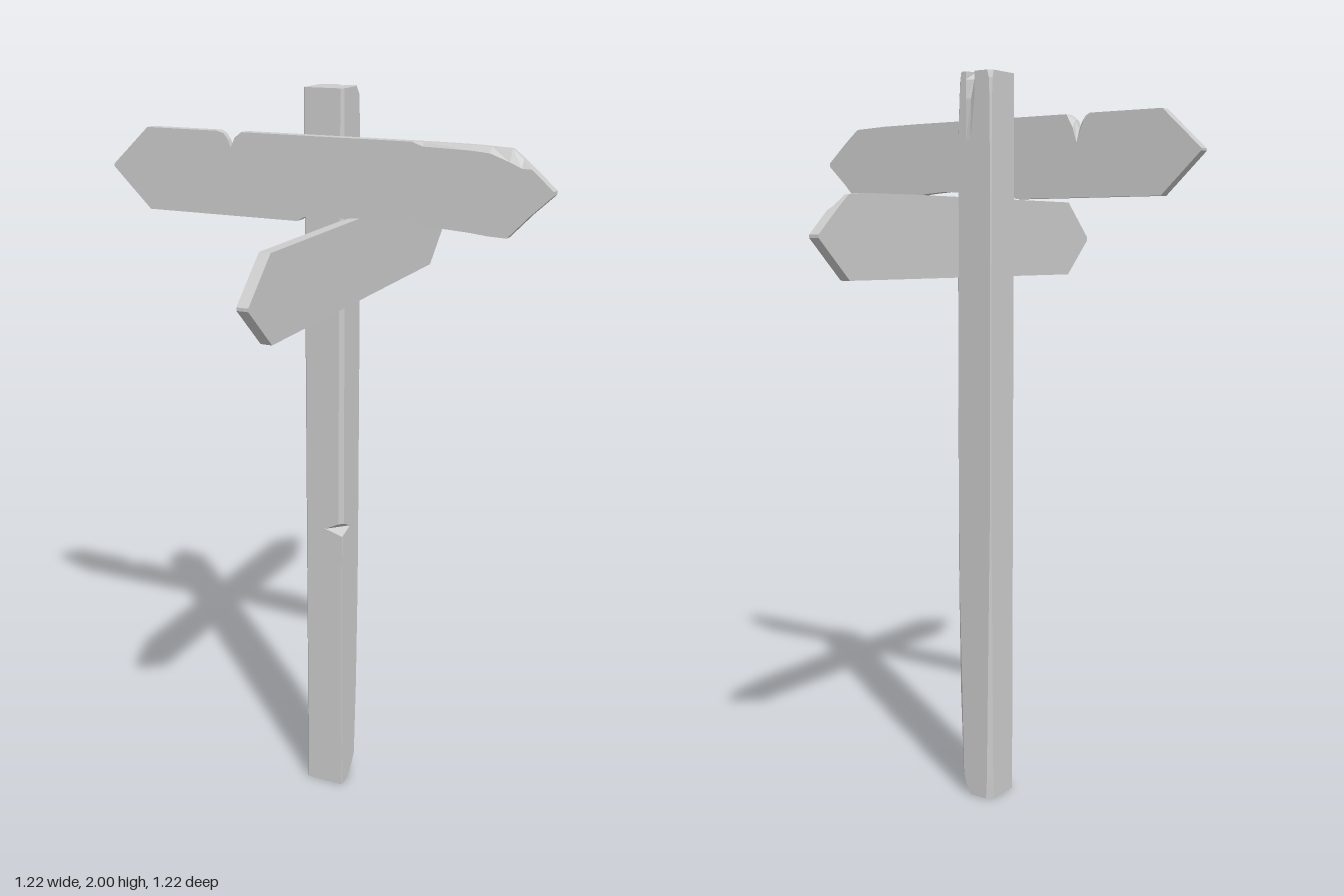
import * as THREE from 'three';

const material = new THREE.MeshStandardMaterial({ color: 0xcccccc, flatShading: true });

// Closed solid through equal-length rings of points, with capped ends.
function loft(rings) {
  const pos = [];
  const tri = (...points) => points.forEach((p) => pos.push(...p));
  const n = rings[0].length;
  const centre = (ring) => [0, 1, 2].map((k) => ring.reduce((sum, p) => sum + p[k], 0) / n);
  const first = rings[0], last = rings[rings.length - 1];
  const c0 = centre(first), c1 = centre(last);
  for (let i = 0; i < n; i++) {
    const j = (i + 1) % n;
    for (let r = 0; r < rings.length - 1; r++) {
      const a = rings[r], b = rings[r + 1];
      tri(a[i], a[j], b[j]);
      tri(a[i], b[j], b[i]);
    }
    tri(c0, first[j], first[i]);
    tri(c1, last[i], last[j]);
  }
  const geometry = new THREE.BufferGeometry();
  geometry.setAttribute('position', new THREE.Float32BufferAttribute(pos, 3));
  geometry.computeVertexNormals();
  return geometry;
}

function part(name, geometry) {
  const mesh = new THREE.Mesh(geometry, material);
  mesh.name = name;
  return mesh;
}

// Square post section: corner cuts are front-left, back-left (x and z), back-right;
// split is the depth of the crack in the back face.
function postRing([y, fl, blx, blz, br, split]) {
  const h = 0.055, fr = 0.003;
  return [
    [-h + fr, y, h], [h - fl, y, h], [h, y, h - fl],
    [h, y, -h + blz], [h - blx, y, -h],
    [Math.min(0.026, h - blx), y, -h], [0.012, y, -h + split], [-0.002, y, -h],
    [-h + br, y, -h], [-h, y, -h + br], [-h, y, h - fr],
  ];
}

// Board section along x: position, bottom, top, then depth and drop
// of the chip on the front edge and on the back edge.
function boardRing([x, bottom, top, fd = 0, fh = 0, bd = 0, bh = 0]) {
  const t = 0.03;
  return [
    [x, top, bd], [x, top, t - fd], [x, top - fh, t],
    [x, bottom, t], [x, bottom, 0], [x, top - bh, 0],
  ];
}

export function createModel() {
  const model = new THREE.Group();
  model.name = 'signpost';

  // Weathered post with a nick in the front left edge and worn back edges
  model.add(part('post', loft([
    [0, 0.001, 0.04, 0.07, 0.016, 0],
    [0.03, 0.001, 0.026, 0.042, 0.014, 0],
    [0.06, 0.001, 0.018, 0.022, 0.013, 0],
    [0.3, 0.001, 0.012, 0.01, 0.01, 0],
    [0.6, 0.001, 0.004, 0.003, 0.006, 0],
    [0.8, 0.001, 0.002, 0.002, 0.003, 0],
    [0.815, 0.052, 0.002, 0.002, 0.003, 0],
    [0.835, 0.012, 0.002, 0.002, 0.003, 0],
    [1.5, 0.01, 0.002, 0.002, 0.003, 0],
    [1.82, 0.009, 0.004, 0.005, 0.004, 0],
    [1.93, 0.008, 0.008, 0.01, 0.005, 0.004],
    [1.98, 0.008, 0.011, 0.014, 0.007, 0.018],
    [2, 0.008, 0.014, 0.03, 0.012, 0.03],
  ].map(postRing))));

  // Front board: notched top, chipped left end, worn underside
  const front = part('frontBoard', loft([
    [-0.61, 1.777, 1.783],
    [-0.5, 1.67, 1.885],
    [-0.29, 1.67, 1.885],
    [-0.27, 1.67, 1.88, 0, 0, 0.012, 0.015],
    [-0.258, 1.67, 1.865, 0, 0, 0.014, 0.03],
    [-0.25, 1.67, 1.845, 0, 0, 0.014, 0.035],
    [-0.238, 1.67, 1.87, 0, 0, 0.012, 0.02],
    [-0.218, 1.67, 1.885],
    [-0.06, 1.67, 1.885],
    [-0.04, 1.682, 1.885],
    [0.06, 1.686, 1.885],
    [0.18, 1.695, 1.885],
    [0.25, 1.69, 1.885],
    [0.28, 1.684, 1.885, 0.007, 0.01],
    [0.4, 1.677, 1.884, 0.012, 0.012],
    [0.45, 1.672, 1.882, 0.014, 0.014],
    [0.5, 1.67, 1.88, 0.018, 0.03],
    [0.53, 1.701, 1.857, 0.014, 0.02],
    [0.555, 1.727, 1.836],
    [0.61, 1.778, 1.788],
  ].map(boardRing)));
  front.position.z = 0.055;
  model.add(front);

  // Side board: same form turned to face left, chipped near its back end
  const side = part('sideBoard', loft([
    [-0.61, 1.563, 1.571],
    [-0.5, 1.46, 1.675],
    [0.18, 1.46, 1.675],
    [0.22, 1.46, 1.675, 0.006, 0.016],
    [0.35, 1.46, 1.674, 0.014, 0.009],
    [0.45, 1.46, 1.673, 0.009, 0.014],
    [0.5, 1.46, 1.668, 0.018, 0.026],
    [0.53, 1.488, 1.643, 0.012, 0.008],
    [0.545, 1.502, 1.63],
    [0.61, 1.563, 1.571],
  ].map(boardRing)));
  side.rotation.y = Math.PI / 2;
  side.position.x = 0.051;
  model.add(side);

  return model;
}
